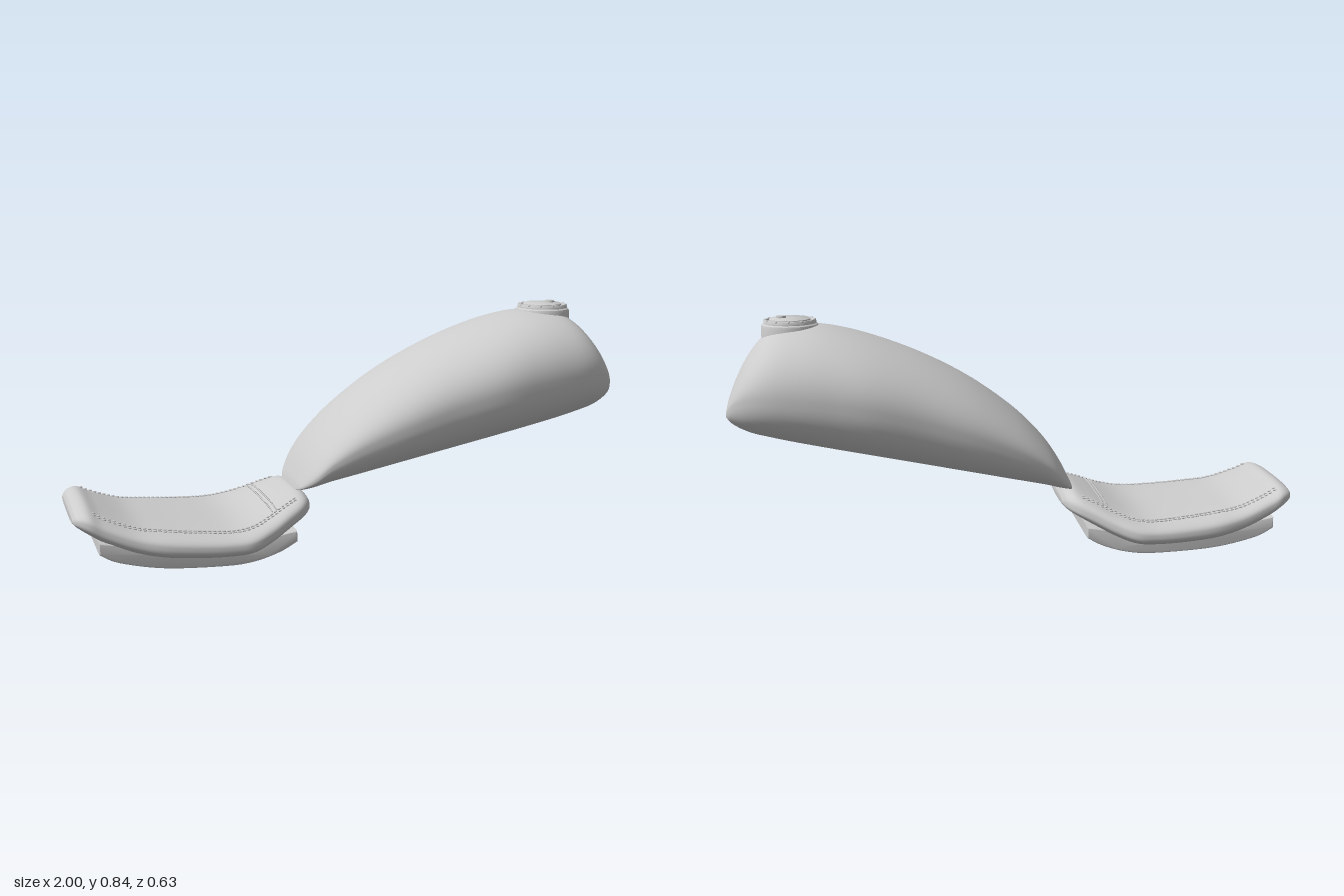
import * as THREE from 'three';
import { mergeGeometries, toCreasedNormals } from 'three/addons/utils/BufferGeometryUtils.js';

// Smooth body running along x. Each station is [x, yTop, yWidest, yBottom, halfWidth];
// nTop and nBottom set how square the upper and lower halves of each section are.
function makeBody(stations, nTop, nBottom) {
  const spline = (f) => new THREE.CatmullRomCurve3(stations.map(f), false, 'catmullrom', 0.5);
  const heights = spline((s) => new THREE.Vector3(s[0], s[1], s[2]));
  const widths = spline((s) => new THREE.Vector3(s[0], s[3], s[4]));
  const at = (t) => {
    const a = heights.getPoint(t), b = widths.getPoint(t);
    return { x: a.x, top: a.y, mid: a.z, bottom: b.y, w: b.z };
  };
  // Height of the upper surface at x, z
  const topAt = (x, z) => {
    let lo = 0, hi = 1;
    for (let i = 0; i < 30; i++) {
      const m = (lo + hi) / 2;
      if (at(m).x < x) lo = m; else hi = m;
    }
    const s = at(lo);
    const k = Math.min(1, Math.abs(z) / s.w);
    return s.mid + (s.top - s.mid) * Math.pow(1 - Math.pow(k, nTop), 1 / nTop);
  };
  const ROWS = 100, COLS = 72, pos = [], index = [];
  for (let i = -1; i <= ROWS + 1; i++) {
    const s = at(THREE.MathUtils.clamp(i / ROWS, 0, 1));
    const open = i < 0 || i > ROWS ? 0 : 1; // end rows close to a point
    for (let j = 0; j < COLS; j++) {
      const a = (j / COLS) * Math.PI * 2, c = Math.cos(a), v = Math.sin(a);
      const e = 2 / (v >= 0 ? nTop : nBottom);
      const h = v >= 0 ? s.top - s.mid : s.mid - s.bottom;
      pos.push(s.x,
        s.mid + open * h * Math.sign(v) * Math.pow(Math.abs(v), e),
        open * s.w * Math.sign(c) * Math.pow(Math.abs(c), e));
    }
  }
  for (let i = 0; i < ROWS + 2; i++) {
    for (let j = 0; j < COLS; j++) {
      const a = i * COLS + j, b = i * COLS + ((j + 1) % COLS);
      index.push(a, a + COLS, b, b, a + COLS, b + COLS);
    }
  }
  const geometry = new THREE.BufferGeometry();
  geometry.setAttribute('position', new THREE.Float32BufferAttribute(pos, 3));
  geometry.setIndex(index);
  geometry.computeVertexNormals();
  return { geometry, topAt };
}

export function createModel() {
  const model = new THREE.Group();
  const grey = new THREE.MeshStandardMaterial({ color: 0xcccccc });
  grey.name = 'light grey';
  const add = (name, geometry, parent = model) => {
    const mesh = new THREE.Mesh(geometry, grey);
    mesh.name = name;
    parent.add(mesh);
    return mesh;
  };

  // Teardrop fuel tank
  const tank = makeBody([
    [-0.213, 0.215, 0.211, 0.207, 0.08],
    [-0.2, 0.25, 0.228, 0.209, 0.135],
    [-0.16, 0.325, 0.27, 0.217, 0.19],
    [-0.1, 0.405, 0.325, 0.23, 0.22],
    [0, 0.502, 0.385, 0.25, 0.25],
    [0.15, 0.61, 0.45, 0.282, 0.28],
    [0.32, 0.7, 0.51, 0.317, 0.298],
    [0.5, 0.769, 0.56, 0.355, 0.315],
    [0.65, 0.806, 0.585, 0.385, 0.306],
    [0.77, 0.809, 0.595, 0.41, 0.29],
    [0.85, 0.785, 0.598, 0.428, 0.27],
    [0.91, 0.725, 0.592, 0.442, 0.24],
    [0.955, 0.65, 0.572, 0.46, 0.2],
    [0.985, 0.58, 0.542, 0.48, 0.155],
    [0.998, 0.53, 0.517, 0.498, 0.11],
  ], 2.05, 2.5);
  add('fuelTank', tank.geometry);

  // Filler neck and cap
  const filler = new THREE.Group();
  filler.name = 'fuelFiller';
  filler.position.x = 0.775;
  model.add(filler);
  const lathe = (points) => toCreasedNormals(
    new THREE.LatheGeometry(points.map((p) => new THREE.Vector2(...p)), 48), 0.6);
  add('fillerNeck', lathe([[0.1, 0.74], [0.1, 0.803], [0.097, 0.812], [0.09, 0.817], [0.0, 0.817]]), filler);
  add('fillerCap', lathe([[0.091, 0.815], [0.091, 0.823], [0.087, 0.829], [0.081, 0.829],
    [0.077, 0.824], [0.073, 0.824], [0.071, 0.831], [0.066, 0.834], [0, 0.835]]), filler);
  add('capLock', new THREE.CylinderGeometry(0.017, 0.018, 0.008, 24), filler).position.set(0.03, 0.837, 0);
  const rivets = [];
  for (let i = 0; i < 12; i++) {
    const a = (i / 12) * Math.PI * 2;
    rivets.push(new THREE.SphereGeometry(0.005, 8, 6).translate(0.086 * Math.cos(a), 0.827, 0.086 * Math.sin(a)));
  }
  add('capRivets', mergeGeometries(rivets), filler);

  // Seat cushion
  const cushion = makeBody([
    [-0.999, 0.195, 0.183, 0.17, 0.17],
    [-0.985, 0.216, 0.185, 0.155, 0.205],
    [-0.95, 0.226, 0.175, 0.13, 0.235],
    [-0.9, 0.203, 0.148, 0.1, 0.247],
    [-0.8, 0.166, 0.112, 0.06, 0.272],
    [-0.7, 0.151, 0.094, 0.04, 0.298],
    [-0.58, 0.14, 0.083, 0.031, 0.31],
    [-0.48, 0.135, 0.08, 0.029, 0.315],
    [-0.41, 0.143, 0.085, 0.035, 0.313],
    [-0.34, 0.165, 0.105, 0.06, 0.283],
    [-0.27, 0.195, 0.135, 0.095, 0.245],
    [-0.215, 0.214, 0.155, 0.125, 0.21],
    [-0.185, 0.204, 0.165, 0.143, 0.17],
    [-0.17, 0.18, 0.168, 0.158, 0.12],
  ], 3, 2.6);
  add('seatCushion', cushion.geometry);

  // Curved pan beneath the cushion
  const pan = new THREE.Shape();
  pan.moveTo(-0.915, 0.112);
  pan.lineTo(-0.915, 0.082);
  pan.splineThru([[-0.85, 0.05], [-0.7, 0.018], [-0.5, 0.006], [-0.4, 0.012], [-0.31, 0.037], [-0.25, 0.068]]
    .map((p) => new THREE.Vector2(...p)));
  pan.lineTo(-0.25, 0.096);
  pan.splineThru([[-0.3, 0.088], [-0.45, 0.055], [-0.65, 0.06], [-0.85, 0.1], [-0.915, 0.112]]
    .map((p) => new THREE.Vector2(...p)));
  const panGeometry = new THREE.ExtrudeGeometry(pan, {
    depth: 0.45, curveSegments: 30, bevelEnabled: true, bevelSize: 0.006, bevelThickness: 0.006, bevelSegments: 3,
  }).translate(0, 0, -0.225);
  add('seatPan', toCreasedNormals(panGeometry, 0.5));

  // Stitches laid on the cushion, spaced along each seam line
  const stitchRow = (points, count) => {
    const line = new THREE.CatmullRomCurve3(points.map(([x, z]) => new THREE.Vector3(x, 0, z)));
    const stitches = [];
    for (let i = 0; i < count; i++) {
      const p = line.getPointAt((i + 0.5) / count), d = line.getTangentAt((i + 0.5) / count);
      stitches.push(new THREE.CapsuleGeometry(0.003, 0.008, 2, 6).rotateZ(Math.PI / 2)
        .rotateY(Math.atan2(-d.z, d.x))
        .translate(p.x, cushion.topAt(p.x, p.z) + 0.001, p.z));
    }
    return mergeGeometries(stitches);
  };
  const seam = [[-0.94, 0.18], [-0.8, 0.205], [-0.6, 0.228], [-0.41, 0.238], [-0.33, 0.205], [-0.23, 0.16]];
  for (const side of [1, -1]) {
    for (const offset of [0, 0.014]) {
      add(side > 0 ? 'frontSeam' : 'backSeam', stitchRow(seam.map(([x, z]) => [x, side * (z + offset)]), 44));
    }
  }
  for (const x of [-0.322, -0.307]) add('crossSeam', stitchRow([[x, -0.19], [x, 0], [x, 0.19]], 26));

  return model;
}
